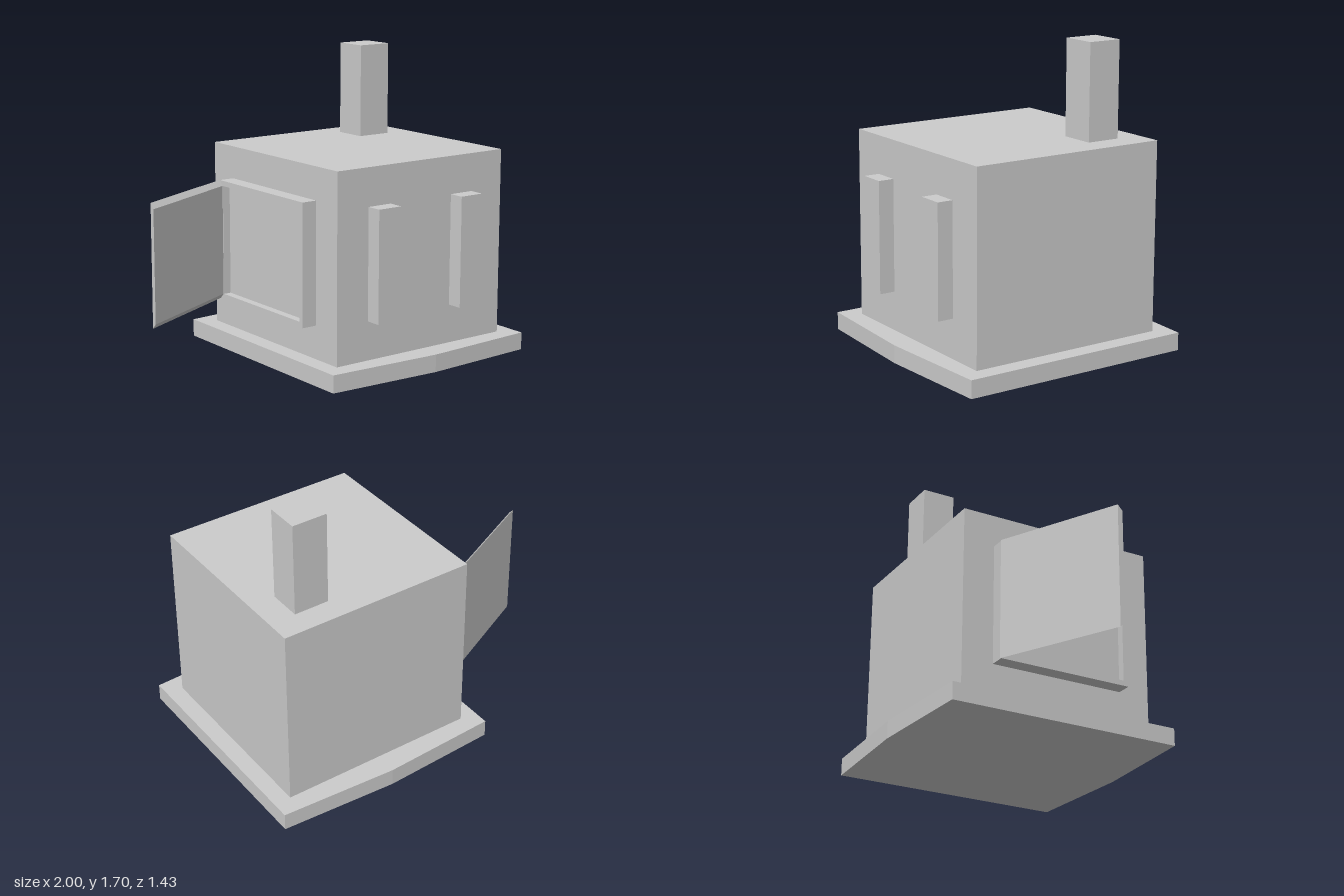
import * as THREE from 'three';

const material = new THREE.MeshStandardMaterial({ color: 0xcccccc, flatShading: true });

function add(group, name, geometry) {
  const mesh = new THREE.Mesh(geometry, material);
  mesh.name = name;
  group.add(mesh);
  return mesh;
}

// Box given by its lower and upper limits on each axis
function box(group, name, [x0, x1], [y0, y1], [z0, z1]) {
  const mesh = add(group, name, new THREE.BoxGeometry(x1 - x0, y1 - y0, z1 - z0));
  mesh.position.set((x0 + x1) / 2, (y0 + y1) / 2, (z0 + z1) / 2);
  return mesh;
}

const rectangle = (x0, x1, y0, y1) =>
  [[x0, y0], [x1, y0], [x1, y1], [x0, y1]].map(([x, y]) => new THREE.Vector2(x, y));

export function createModel() {
  const model = new THREE.Group();
  model.name = 'furnace';

  // Base slab, its front and back edges slightly pointed in the middle
  const outline = [[-0.36, -0.68], [0.32, -0.717], [1, -0.68], [1, 0.68], [0.32, 0.717], [-0.36, 0.68]];
  const slab = new THREE.Shape(outline.map(([x, z]) => new THREE.Vector2(x, z)));
  const base = add(model, 'base', new THREE.ExtrudeGeometry(slab, { depth: 0.1, bevelEnabled: false }));
  base.rotation.x = -Math.PI / 2;

  // Body, chimney and the two bars on the front
  box(model, 'body', [-0.26, 0.9], [0.1, 1.165], [-0.58, 0.58]);
  box(model, 'chimney', [0.54, 0.745], [1.165, 1.7], [-0.435, -0.24]);
  for (const x of [-0.05, 0.53]) box(model, 'frontBar', [x, x + 0.15], [0.32, 0.95], [0.58, 0.67]);

  // Door frame on the side, with a shallow recess
  const rim = new THREE.Shape(rectangle(-0.395, 0.395, 0.29, 0.98));
  rim.holes.push(new THREE.Path(rectangle(-0.365, 0.365, 0.32, 0.95)));
  const frame = add(model, 'doorFrame', new THREE.ExtrudeGeometry(rim, { depth: 0.09, bevelEnabled: false }));
  frame.rotation.y = -Math.PI / 2;
  frame.position.x = -0.26;
  box(model, 'recessPanel', [-0.305, -0.26], [0.32, 0.95], [-0.365, 0.365]);

  // Open door: a thin slab swung outward, its inner face smaller in height
  const door = new THREE.BoxGeometry(1, 1, 1);
  const p = door.attributes.position;
  for (let i = 0; i < p.count; i++) {
    const hinge = p.getX(i) > 0, top = p.getY(i) > 0, inner = p.getZ(i) > 0;
    const y = top ? (inner ? 0.95 : 0.98) : (inner ? 0.32 : 0.29);
    p.setXYZ(i, hinge ? -0.345 : -1, y, (hinge ? -0.4 : -0.077) + (inner ? 0.028 : 0));
  }
  door.computeVertexNormals();
  add(model, 'door', door);

  return model;
}
